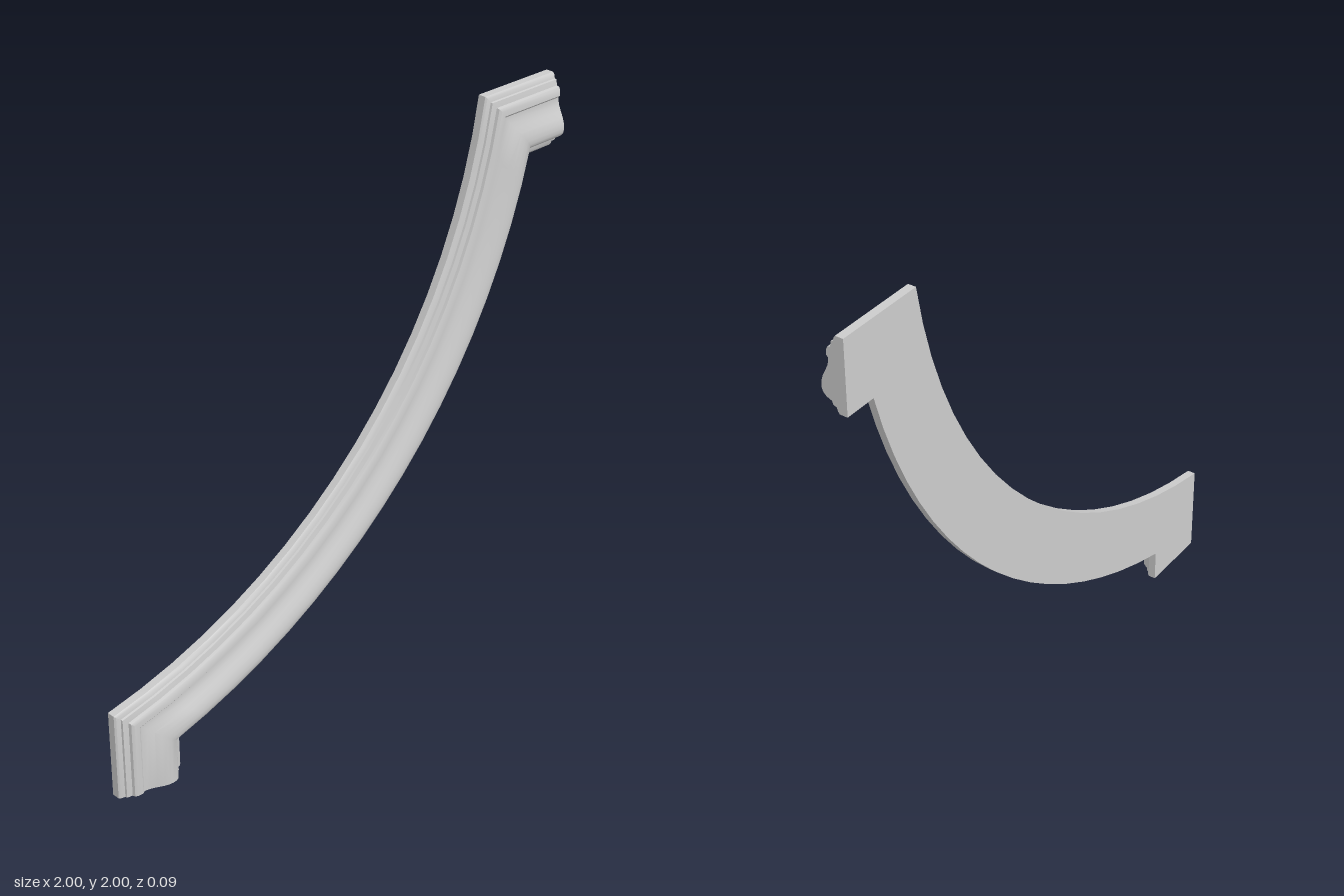
import * as THREE from 'three';
import { toCreasedNormals } from 'three/addons/utils/BufferGeometryUtils.js';

// Moulding cross-section: [distance from the outer edge, height z]
const PROFILE = [
  [0, -0.045], [0, -0.016], [0.006, -0.011], [0.021, -0.007], [0.023, 0],
  [0.043, 0.004], [0.046, 0.014], [0.056, 0.019], [0.076, 0.02], [0.083, 0.014],
  [0.094, 0.014], [0.11, 0.018], [0.13, 0.027], [0.15, 0.037], [0.168, 0.043],
  [0.184, 0.045], [0.199, 0.044], [0.211, 0.038], [0.219, 0.029], [0.225, 0.018],
  [0.228, 0.009], [0.24, 0.005], [0.245, -0.007], [0.258, -0.011], [0.265, -0.017],
  [0.265, -0.045],
];
const ARC_STEPS = 18;
const RADIUS = 2;
const CX = -1.31, CY = 2.31;

// Stations along the path: lower leg end, arc (mitred to both legs), upper leg end
function stationPoint(i, [d, z]) {
  if (i === 0) return [-1 + d, 0, z];
  if (i === ARC_STEPS + 2) return [1, 2 - d, z];
  const r = RADIUS + d;
  const start = Math.asin((-1 + d - CX) / r);
  const a = THREE.MathUtils.lerp(start, Math.PI / 2 - start, (i - 1) / ARC_STEPS);
  return [CX + r * Math.sin(a), CY - r * Math.cos(a), z];
}

function mouldingGeometry() {
  const n = PROFILE.length, last = ARC_STEPS + 2;
  const positions = [], index = [];
  for (let i = 0; i <= last; i++) {
    for (const p of PROFILE) positions.push(...stationPoint(i, p));
  }
  // Swept skin, including the flat back
  for (let i = 0; i < last; i++) {
    for (let j = 0; j < n; j++) {
      const k = (j + 1) % n;
      const a = i * n + j, b = i * n + k, c = b + n, d = a + n;
      index.push(a, b, c, a, c, d);
    }
  }
  // Cut ends
  const outline = PROFILE.map(([d, z]) => new THREE.Vector2(d, z));
  for (const tri of THREE.ShapeUtils.triangulateShape(outline, [])) {
    let [a, b, c] = tri;
    if (THREE.ShapeUtils.area(tri.map((t) => outline[t])) < 0) [b, c] = [c, b];
    const e = last * n;
    index.push(a, b, c, e + a, e + c, e + b);
  }
  const geometry = new THREE.BufferGeometry();
  geometry.setAttribute('position', new THREE.Float32BufferAttribute(positions, 3));
  geometry.setIndex(index);
  return toCreasedNormals(geometry, THREE.MathUtils.degToRad(32));
}

export function createModel() {
  const group = new THREE.Group();
  group.name = 'cornerMoulding';
  const moulding = new THREE.Mesh(
    mouldingGeometry(),
    new THREE.MeshStandardMaterial({ color: 0xcccccc })
  );
  moulding.name = 'curvedMoulding';
  group.add(moulding);
  return group;
}
